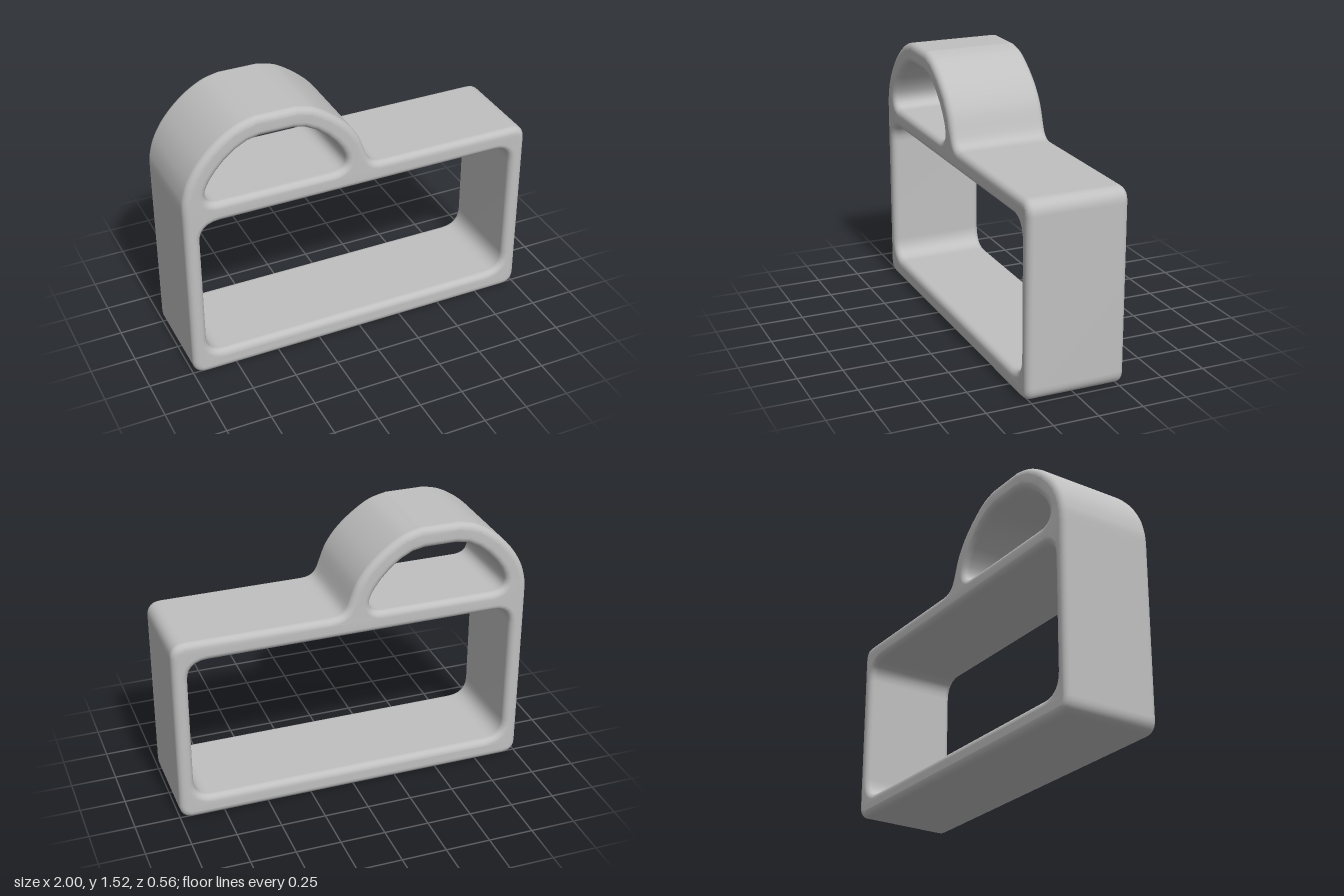
import * as THREE from 'three';
import { mergeVertices } from 'three/addons/utils/BufferGeometryUtils.js';

const HALF_DEPTH = 0.278;
const BEVEL = 0.036;
const ARCH_X = -0.48; // centre line of the arch

const vec = (x, y) => new THREE.Vector2(x, y);

// Rounded rectangular opening
function roundedOpening(x0, y0, x1, y1, r) {
  const p = new THREE.Path();
  p.moveTo(x0 + r, y0);
  p.lineTo(x1 - r, y0);
  p.quadraticCurveTo(x1, y0, x1, y0 + r);
  p.lineTo(x1, y1 - r);
  p.quadraticCurveTo(x1, y1, x1 - r, y1);
  p.lineTo(x0 + r, y1);
  p.quadraticCurveTo(x0, y1, x0, y1 - r);
  p.lineTo(x0, y0 + r);
  p.quadraticCurveTo(x0, y0, x0 + r, y0);
  return p;
}

// Half-moon opening under the arch, mirrored about its centre line
function archOpening() {
  const p = new THREE.Path();
  const X = (d) => ARCH_X + d;
  p.moveTo(X(-0.32), 1.072);
  p.lineTo(X(0.32), 1.072);
  p.bezierCurveTo(X(0.38), 1.072, X(0.41), 1.11, X(0.385), 1.17);
  p.bezierCurveTo(X(0.36), 1.24, X(0.22), 1.405, X(0.09), 1.405);
  p.lineTo(X(-0.09), 1.405);
  p.bezierCurveTo(X(-0.22), 1.405, X(-0.36), 1.24, X(-0.385), 1.17);
  p.bezierCurveTo(X(-0.41), 1.11, X(-0.38), 1.072, X(-0.32), 1.072);
  return p;
}

// Outer silhouette: rectangle with an arch rising from its top left
function outline() {
  const s = new THREE.Shape();
  const r = 0.08;
  s.moveTo(-1 + r, 0);
  s.lineTo(1 - r, 0);
  s.quadraticCurveTo(1, 0, 1, r);
  s.lineTo(1, 1.075 - r);
  s.quadraticCurveTo(1, 1.075, 1 - r, 1.075);
  s.lineTo(0.13, 1.075);
  s.bezierCurveTo(0.06, 1.075, 0.045, 1.1, 0.025, 1.16);
  s.splineThru([
    vec(-0.015, 1.26), vec(-0.08, 1.35), vec(-0.17, 1.43),
    vec(-0.27, 1.493), vec(-0.37, 1.52),
  ]);
  s.lineTo(-0.59, 1.52);
  s.splineThru([
    vec(-0.69, 1.493), vec(-0.8, 1.425), vec(-0.9, 1.325),
    vec(-0.965, 1.22), vec(-0.995, 1.12), vec(-1, 1.04),
  ]);
  s.lineTo(-1, r);
  s.quadraticCurveTo(-1, 0, -1 + r, 0);
  return s;
}

export function createModel() {
  const model = new THREE.Group();
  model.name = 'archedFrame';
  const grey = new THREE.MeshStandardMaterial({ color: 0xc0c0c0 });
  grey.name = 'lightGrey';

  const shape = outline();
  shape.holes.push(roundedOpening(-0.915, 0.118, 0.915, 0.96, 0.11), archOpening());

  // Soft-edged extrusion; the outline stays at full size between the bevels
  const depth = 2 * (HALF_DEPTH - BEVEL);
  let geometry = new THREE.ExtrudeGeometry(shape, {
    depth,
    curveSegments: 6,
    bevelEnabled: true,
    bevelThickness: BEVEL,
    bevelSize: BEVEL,
    bevelOffset: -BEVEL,
    bevelSegments: 5,
  });
  geometry.translate(0, 0, -depth / 2);

  // Weld the faces so the rounded edges shade smoothly
  geometry.deleteAttribute('uv');
  geometry.deleteAttribute('normal');
  geometry = mergeVertices(geometry, 1e-4);
  geometry.clearGroups();
  geometry.computeVertexNormals();

  const frame = new THREE.Mesh(geometry, grey);
  frame.name = 'frameWithArch';
  model.add(frame);
  return model;
}
